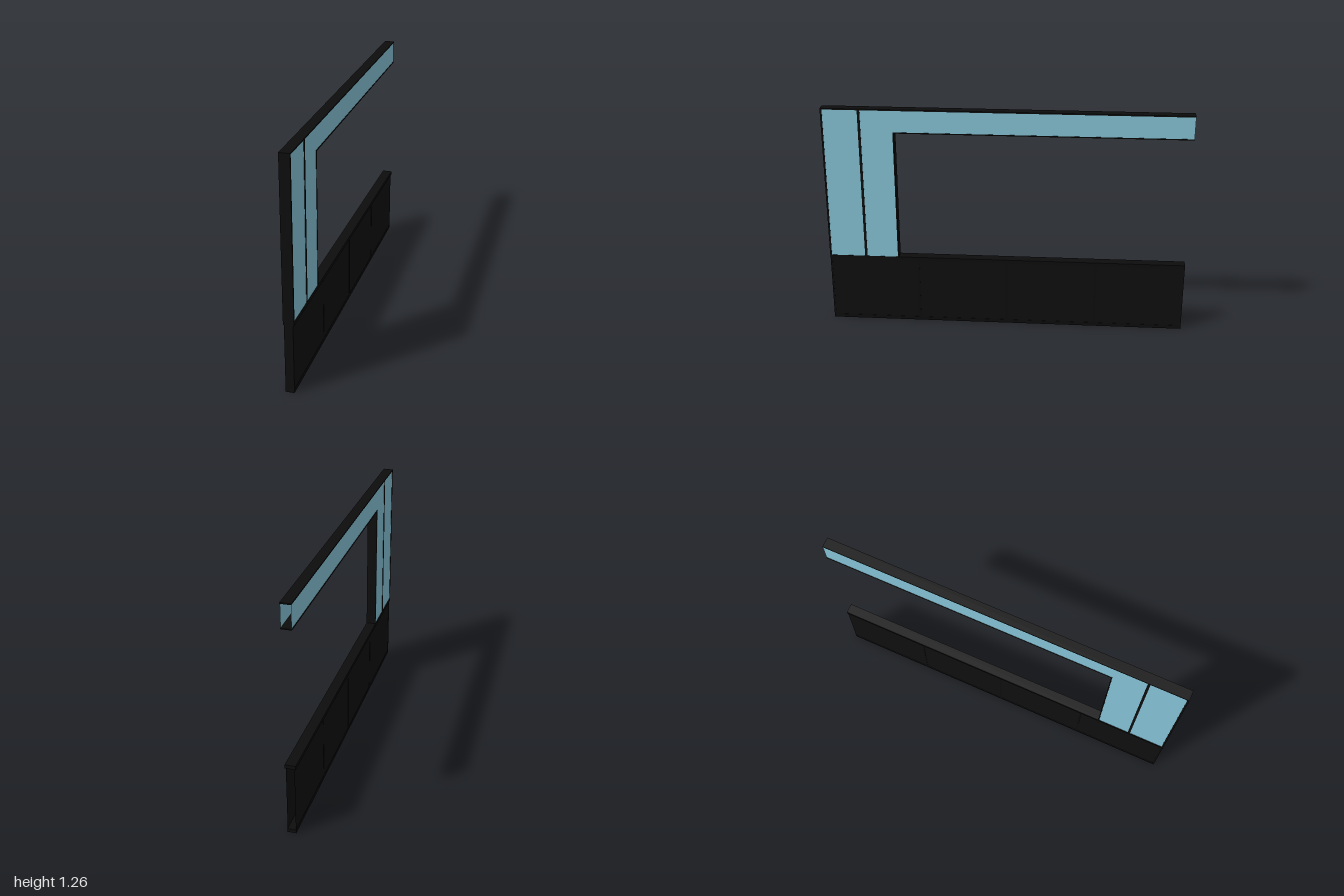
import * as THREE from 'three';

export function createModel() {
  const model = new THREE.Group();
  const black = new THREE.MeshStandardMaterial({ color: 0x0d0d0d });
  const panelBlack = new THREE.MeshStandardMaterial({ color: 0x0f0f0f, side: THREE.DoubleSide });
  const glass = new THREE.MeshStandardMaterial({ color: 0x8acadd, side: THREE.DoubleSide });

  // Box bar given by its full width in x and its z and y ranges
  function bar(name, width, z0, z1, y0, y1, material = black) {
    const mesh = new THREE.Mesh(new THREE.BoxGeometry(width, y1 - y0, z1 - z0), material);
    mesh.position.set(0, (y0 + y1) / 2, (z0 + z1) / 2);
    mesh.name = name;
    model.add(mesh);
  }

  // Thin sheet on each side, outlined by [z, y] points
  function sheets(name, points, x, material) {
    const shape = new THREE.Shape(points.map(([z, y]) => new THREE.Vector2(z, y)));
    const geometry = new THREE.ShapeGeometry(shape).rotateY(-Math.PI / 2);
    for (const side of [-1, 1]) {
      const mesh = new THREE.Mesh(geometry, material);
      mesh.position.x = side * x;
      mesh.name = name + (side > 0 ? 'Left' : 'Right');
      model.add(mesh);
    }
  }

  // Lower wall: rails, posts and four panels per side, open at the back end
  const lower = 0.046, upper = 0.056;
  bar('bottomRail', lower, -1, 1, 0, 0.02);
  bar('sillRail', upper, -1, 1, 0.38, 0.4);
  for (let i = 0; i < 4; i++) {
    const z = 1 - i * 0.5;
    bar('lowerPost', lower, z - 0.01, z, 0.02, 0.38);
    sheets('lowerPanel', [[z - 0.5, 0.02], [z - 0.01, 0.02], [z - 0.01, 0.38], [z - 0.5, 0.38]], 0.0215, panelBlack);
  }

  // Upper frame around the window opening
  bar('frontPost', upper, 0.99, 1, 0.4, 1.264);
  bar('mullion', upper, 0.785, 0.799, 0.4, 1.257);
  bar('openingPost', upper, 0.605, 0.611, 0.4, 1.137);
  bar('topRail', upper, -1, 0.99, 1.257, 1.264);
  bar('openingHead', upper, -1, 0.605, 1.131, 1.137);

  // Glazing: front strip and an L-shaped pane running along the hollow top beam
  sheets('frontPane', [[0.799, 0.4], [0.99, 0.4], [0.99, 1.257], [0.799, 1.257]], 0.026, glass);
  sheets('cornerPane', [[0.611, 0.4], [0.785, 0.4], [0.785, 1.257], [-1, 1.257], [-1, 1.137], [0.611, 1.137]], 0.026, glass);

  return model;
}
